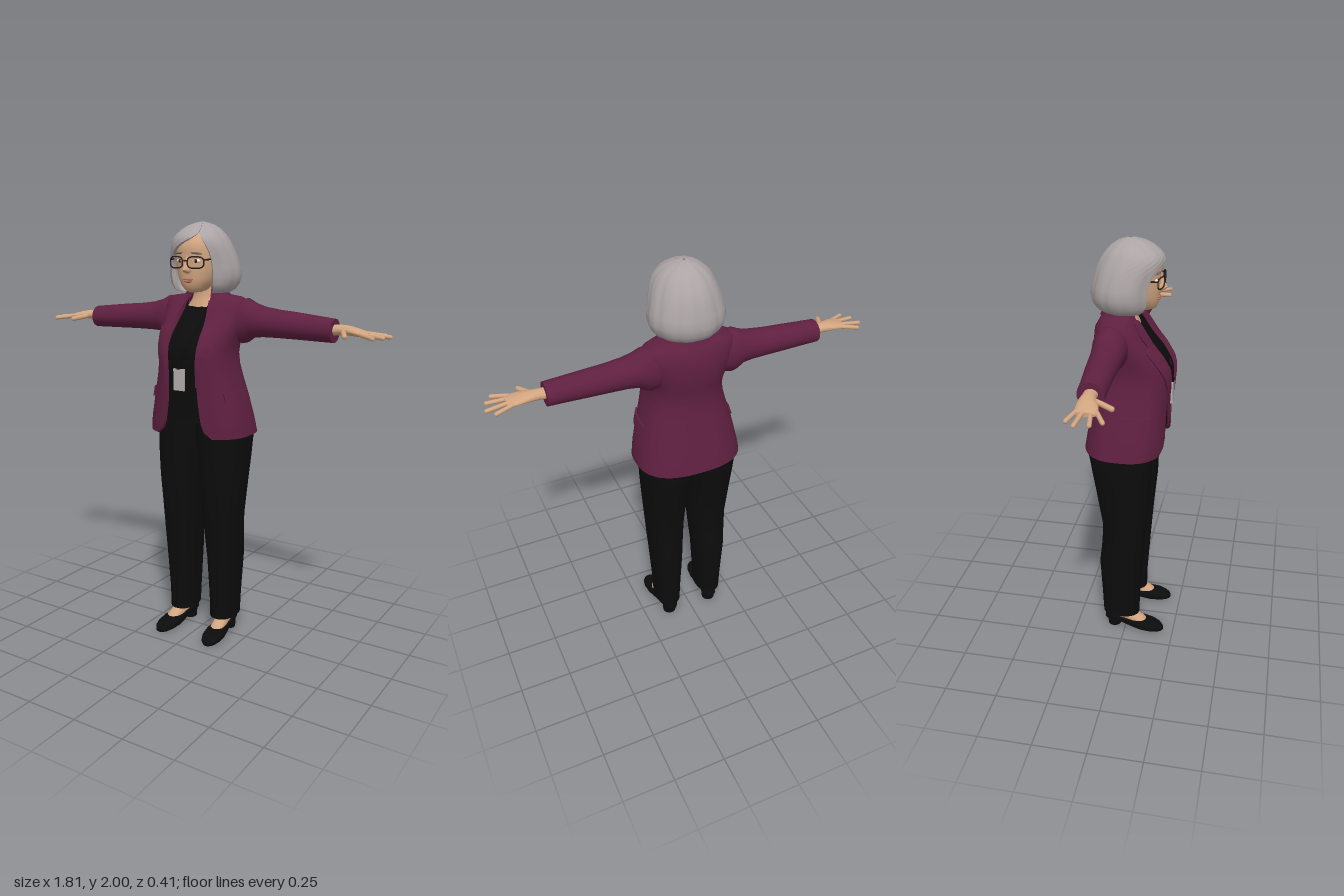
import * as THREE from 'three';
import { toCreasedNormals } from 'three/addons/utils/BufferGeometryUtils.js';

const mat = (name, color, side = THREE.FrontSide) => {
  const m = new THREE.MeshStandardMaterial({ color, side });
  m.name = name;
  return m;
};
const V = (x, y, z) => new THREE.Vector3(x, y, z);
const power = (v, p) => Math.sign(v) * Math.abs(v) ** p;

// Skin a stack of closed rings, with strip caps on both ends
function loft(rings, crease = 0.95) {
  const n = rings[0].length, last = (rings.length - 1) * n, index = [];
  for (let i = 0; i < rings.length - 1; i++)
    for (let j = 0; j < n; j++) {
      const a = i * n + j, b = i * n + (j + 1) % n;
      index.push(a, b, a + n, b, b + n, a + n);
    }
  for (let j = 0; j < n / 2 - 1; j++) {
    const k = n - 1 - j;
    index.push(j, k, j + 1, j + 1, k, k - 1);
    index.push(last + j, last + j + 1, last + k, last + j + 1, last + k - 1, last + k);
  }
  const g = new THREE.BufferGeometry().setFromPoints(rings.flat());
  g.setIndex(index);
  return toCreasedNormals(g, crease);
}

// Ellipse ring across an axis (0 x, 1 y, 2 z); c/r pairs follow the next two axes in cycle
function ring(axis, pos, c1, r1, c2, r2, p = 1, n = 28) {
  return Array.from({ length: n }, (_, j) => {
    const t = (j + 0.5) / n * Math.PI * 2, v = V(0, 0, 0);
    v.setComponent(axis, pos);
    v.setComponent((axis + 1) % 3, c1 + r1 * power(Math.cos(t), p));
    v.setComponent((axis + 2) % 3, c2 + r2 * power(Math.sin(t), p));
    return v;
  });
}

// Point at angle t (0 = front, toward +x) on a level section [y, halfWidth, zFront, zBack]
function onSection([y, rx, zf, zb], t, off, p) {
  return V((rx + off) * power(Math.sin(t), p), y,
    (zf + zb) / 2 + ((zf - zb) / 2 + off) * power(Math.cos(t), p));
}
const angleAt = (x, rx, p) => Math.sign(x) * Math.asin(Math.min(1, Math.abs(x) / rx) ** (1 / p));

// Thick C-shaped ring between angles t0 and t1
function cRing(row, t0, t1, outer, inner, p, m, ripple = () => 0) {
  const out = [], inn = [];
  for (let j = 0; j <= m; j++) {
    const t = t0 + (t1 - t0) * j / m;
    out.push(onSection(row, t, outer + ripple(t), p));
    inn.unshift(onSection(row, t, inner, p));
  }
  return [...out, ...inn];
}
// Shell open at the front; rows are [y, halfWidth, zFront, zBack, leftEdgeX, rightEdgeX]
function openShell(rows, thick, p, m, ripple) {
  return loft(rows.map(r => cRing(r, angleAt(r[4], r[1], p), 2 * Math.PI + angleAt(r[5] ?? -r[4], r[1], p),
    0, -Math.min(thick, r[1] * 0.4), p, m, ripple)));
}
const lookup = rows => {
  const f = new THREE.LinearInterpolant(rows.map(r => r[0]), rows.flatMap(r => r.slice(1)), rows[0].length - 1);
  return y => [y, ...f.evaluate(y)];
};

const JP = 0.78;
const jacketRows = [
  [1.03, .255, .185, -.205, .15], [1.06, .251, .188, -.2, .115], [1.1, .244, .19, -.193, .1],
  [1.2, .222, .19, -.172, .085], [1.3, .195, .196, -.15, .08], [1.36, .181, .203, -.14, .08],
  [1.41, .176, .205, -.138, .082], [1.45, .179, .195, -.145, .085], [1.5, .19, .163, -.154, .085],
  [1.56, .205, .11, -.155, .078], [1.62, .213, .065, -.146, .068], [1.648, .208, .042, -.13, .06],
  [1.665, .175, .032, -.115, .06], [1.675, .1, .028, -.105, .055], [1.7, .075, .02, -.098, .05]];
const jacketAt = lookup(jacketRows);

export function createModel() {
  const jacket = mat('plum cloth', 0x5f2040, THREE.DoubleSide), black = mat('black cloth', 0x0c0c0d);
  const skin = mat('skin', 0xd2a580), hair = mat('grey hair', 0xaca4a5, THREE.DoubleSide);
  const card = mat('badge grey', 0xb4acac), frame = mat('dark frame', 0x2b1e19);
  const lip = mat('lips', 0xb47565), white = mat('eye white', 0xe6e0da), brow = mat('brow', 0x75685f);
  const model = new THREE.Group();
  model.name = 'woman';
  const add = (name, g, m, parent = model, pos) => {
    const mesh = new THREE.Mesh(g, m);
    mesh.name = name;
    if (pos) mesh.position.set(...pos);
    parent.add(mesh);
    return mesh;
  };
  const level = (rows, p) => loft(rows.map(([y, rx, zf, zb]) => ring(1, y, (zf + zb) / 2, (zf - zb) / 2, 0, rx, p, 40)));

  // Jacket, collar and top
  add('jacket', openShell(jacketRows, .013, JP, 64), jacket);
  add('collar', openShell([[1.662, .125, .045, -.132, .06], [1.69, .1, .032, -.117, .056], [1.712, .08, .022, -.102, .052]], .014, 1, 40), jacket);
  add('top', level(jacketRows.slice(2, 11).map(([y, rx, zf, zb]) => [y, rx - .022, zf - .02, zb + .022]), JP), black);

  // Neck and head
  add('neck', level([[1.58, .1, .055, -.09], [1.625, .085, .045, -.09], [1.65, .068, .033, -.088],
    [1.68, .057, .03, -.083], [1.77, .055, .04, -.08]]), skin);
  add('head', level([[1.688, .025, .1, .03], [1.697, .045, .117, .0], [1.72, .068, .128, -.03], [1.75, .087, .132, -.06],
    [1.79, .1, .135, -.09], [1.83, .106, .135, -.1], [1.87, .108, .142, -.11], [1.91, .1, .138, -.1],
    [1.945, .08, .105, -.08], [1.97, .04, .06, -.04]], .93), skin);
  add('nose', loft([[1.772, .012, .14], [1.78, .02, .158], [1.79, .019, .167], [1.803, .013, .16], [1.83, .009, .148], [1.855, .009, .14]]
    .map(([y, rx, zf]) => ring(1, y, .12, zf - .12, 0, rx, 1, 16))), skin);
  const blob = (name, m, pos, sx, sy, sz) => add(name, new THREE.SphereGeometry(1, 20, 12).scale(sx, sy, sz), m, model, pos);
  blob('upperLip', lip, [0, 1.747, .127], .027, .006, .0085);
  blob('lowerLip', lip, [0, 1.738, .127], .022, .007, .0095);

  // Swept bob with a side parting
  const hairRows = [
    [1.685, .12, .1, -.13, .092, -.092], [1.7, .146, .118, -.153, .105, -.105], [1.725, .164, .125, -.168, .108, -.108],
    [1.76, .174, .128, -.175, .11, -.11], [1.8, .17, .131, -.168, .11, -.11], [1.84, .159, .141, -.158, .107, -.1],
    [1.865, .152, .149, -.151, .102, -.082], [1.89, .143, .155, -.141, .093, -.05], [1.91, .134, .157, -.13, .083, -.01],
    [1.93, .123, .15, -.117, .07, .03], [1.947, .11, .134, -.103, .052, .05], [1.967, .088, .108, -.083, .046, .045],
    [1.985, .06, .074, -.055, .034, .033], [1.996, .027, .035, -.023, .015, .0145], [2, .008, .012, -.006, .004, .0038]];
  const strand = t => -.0035 * Math.abs(Math.sin(5.5 * t)) ** 6;
  add('hair', openShell(hairRows, .022, 1, 110, strand), hair);

  // Glasses
  const glasses = new THREE.Group();
  glasses.name = 'glasses';
  model.add(glasses);
  for (const s of [1, -1]) {
    const rim = Array.from({ length: 24 }, (_, i) => {
      const t = i / 24 * Math.PI * 2, x = s * .051 + .038 * power(Math.cos(t), .65);
      return V(x, 1.822 + .025 * power(Math.sin(t), .65), .154 - 2.2 * x * x);
    });
    add('rim', new THREE.TubeGeometry(new THREE.CatmullRomCurve3(rim, true), 48, .0032, 6, true), frame, glasses);
    add('temple', new THREE.TubeGeometry(new THREE.LineCurve3(V(s * .088, 1.834, .137), V(s * .116, 1.838, .0)), 1, .0035, 6), frame, glasses);
    blob('eye', white, [s * .043, 1.828, .123], .02, .0095, .009);
    blob('iris', frame, [s * .043, 1.828, .129], .008, .0085, .004);
    const b = blob('eyebrow', brow, [s * .045, 1.862, .13], .027, .005, .009);
    b.rotation.set(0, s * .3, -s * .1);
  }
  add('bridge', new THREE.BoxGeometry(.03, .006, .006), frame, glasses, [0, 1.83, .154]);

  // Badge on a cord
  add('badge', new THREE.BoxGeometry(.058, .1, .01), card, model, [-.004, 1.3, .199]);
  add('badgeClip', new THREE.BoxGeometry(.018, .018, .012), black, model, [-.004, 1.357, .199]);
  for (const s of [1, -1]) {
    const cord = new THREE.CatmullRomCurve3([V(s * .062, 1.66, .025), V(s * .058, 1.62, .054), V(s * .052, 1.56, .096),
      V(s * .04, 1.5, .15), V(s * .022, 1.43, .193), V(-.004, 1.355, .199)]);
    add('cord', new THREE.TubeGeometry(cord, 24, .004, 6), black);
  }

  const lapelAt = lookup([[1.27, .078, .084], [1.35, .078, .105], [1.45, .082, .138], [1.53, .08, .155],
    [1.55, .078, .12], [1.56, .077, .128], [1.6, .07, .135], [1.65, .058, .11]]);
  const fingers = [[-.05, .868, -.075], [-.025, .9, -.037], [.003, .888, .02], [.024, .858, .064]];

  // Everything that comes in pairs, built on the left and mirrored
  for (const s of [1, -1]) {
    const half = new THREE.Group();
    half.name = s > 0 ? 'leftSide' : 'rightSide';
    half.scale.x = s;
    model.add(half);

    // Lapel and pocket flap lie on the jacket surface
    const lapel = [];
    for (let i = 0; i <= 38; i++) {
      const y = 1.27 + i * .01, [, xi, xo] = lapelAt(y), row = jacketAt(y);
      lapel.push(cRing(row, angleAt(xi, row[1], JP), angleAt(xo, row[1], JP), .011, -.003, JP, 6));
    }
    add('lapel', loft(lapel), jacket, half);
    add('pocketFlap', loft([1.195, 1.2, 1.22, 1.242].map(y => cRing(jacketAt(y), 1.0, 1.76, .008, -.003, JP, 12))), jacket, half);

    // Sleeve: x, centre y, centre z, half height, half depth
    const along = rows => loft(rows.map(([x, cy, cz, ry, rz]) => ring(0, x, cy, ry, cz, rz)));
    add('sleeve', along([[.15, 1.553, -.05, .09, .07], [.19, 1.556, -.05, .103, .078], [.215, 1.56, -.05, .101, .078],
      [.25, 1.563, -.048, .079, .074], [.3, 1.558, -.045, .069, .07], [.38, 1.553, -.043, .063, .066],
      [.47, 1.549, -.04, .06, .062], [.56, 1.544, -.035, .056, .058], [.65, 1.539, -.031, .052, .056]]), jacket, half);

    // Hand
    add('hand', along([[.63, 1.542, -.03, .024, .03], [.68, 1.545, -.03, .023, .028], [.715, 1.545, -.027, .021, .035],
      [.75, 1.541, -.02, .018, .044], [.785, 1.536, -.014, .014, .047], [.81, 1.533, -.013, .009, .042]]), skin, half);
    const digit = (name, a, b, r) => {
      const d = b.clone().sub(a);
      const f = add(name, new THREE.CapsuleGeometry(r, d.length() - r, 4, 10), skin, half, a.clone().add(b).multiplyScalar(.5).toArray());
      f.quaternion.setFromUnitVectors(V(0, 1, 0), d.normalize());
    };
    for (const [z0, x1, z1] of fingers) digit('finger', V(.785, 1.536, z0), V(x1, 1.526, z1), .0095);
    digit('thumb', V(.7, 1.54, .0), V(.738, 1.528, .076), .0115);

    // Trouser leg: y, inner x, outer x, front z, back z
    add('trouserLeg', loft([[.09, .054, .18, .07, -.115], [.2, .05, .184, .072, -.12], [.4, .039, .197, .085, -.13],
      [.52, .028, .204, .094, -.117], [.62, .02, .209, .102, -.112], [.8, .01, .221, .119, -.14], [.9, .0, .228, .122, -.157],
      [1, -.02, .233, .125, -.175], [1.06, -.02, .23, .125, -.172], [1.15, -.02, .195, .125, -.14]]
      .map(([y, xi, xo, zf, zb]) => ring(1, y, (zf + zb) / 2, (zf - zb) / 2, (xi + xo) / 2, (xo - xi) / 2, .88, 36))), black, half);

    // Foot and low-heeled shoe: z, half width, bottom, top
    const foot = new THREE.Group();
    foot.name = 'foot';
    foot.position.x = .122;
    foot.rotation.y = .09;
    half.add(foot);
    const lengthwise = (rows, p) => loft(rows.map(([z, w, y0, y1]) => ring(2, z, 0, w, (y0 + y1) / 2, (y1 - y0) / 2, p)));
    add('instep', lengthwise([[-.085, .022, .03, .1], [-.04, .031, .03, .13], [.01, .033, .03, .118], [.05, .034, .02, .093],
      [.09, .033, .02, .07], [.12, .02, .02, .048]], 1), skin, foot);
    add('shoe', lengthwise([[-.105, .018, .03, .075], [-.095, .03, .027, .085], [-.06, .037, .026, .082], [-.01, .037, .02, .07],
      [.04, .043, .007, .063], [.09, .05, 0, .06], [.14, .048, 0, .05], [.175, .036, 0, .038], [.193, .02, .003, .028],
      [.2, .006, .008, .02]], .8), black, foot);
    add('heel', new THREE.CylinderGeometry(.036, .033, .036, 20), black, foot, [0, .018, -.06]);
  }
  return model;
}
